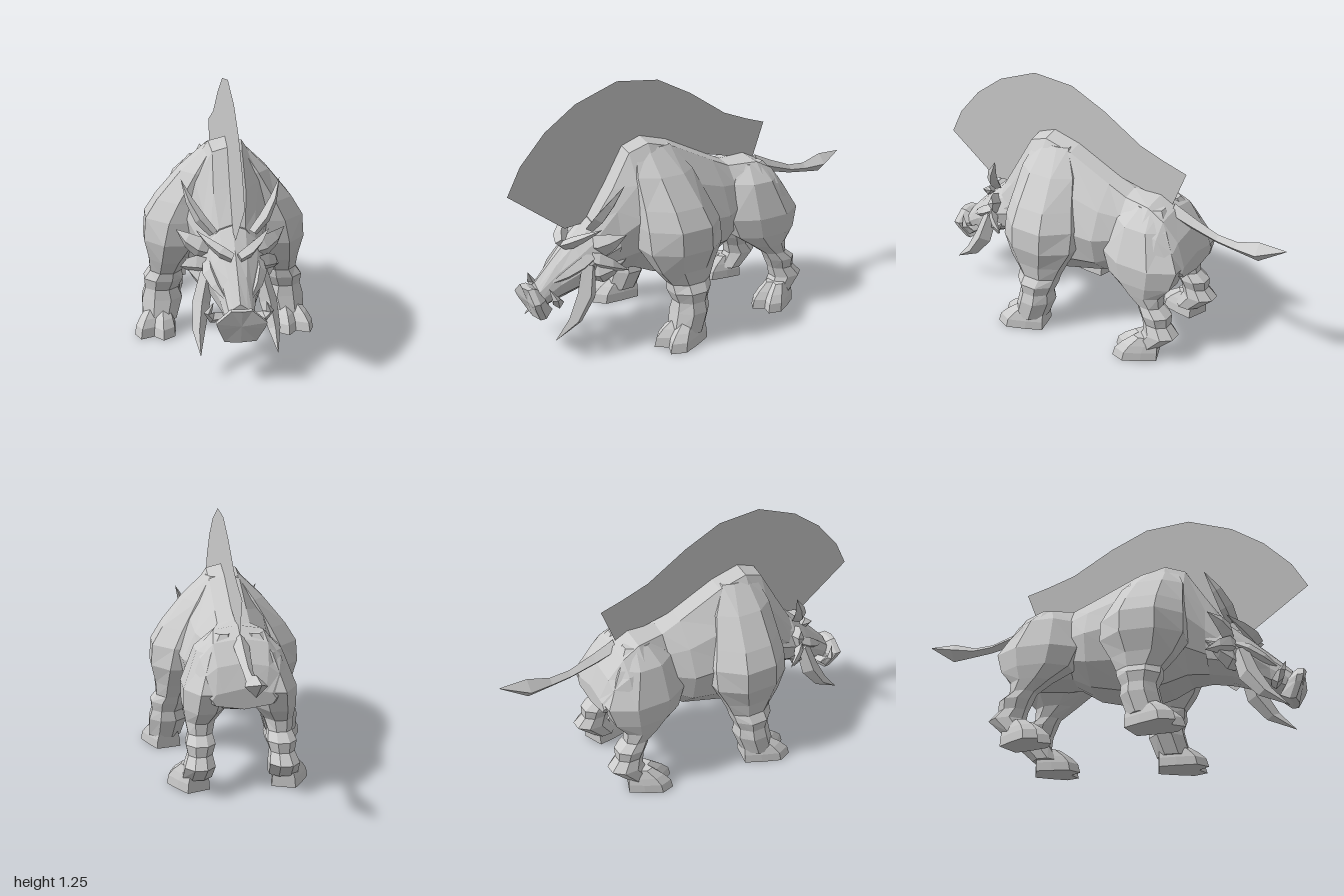
import * as THREE from 'three';

const hide = new THREE.MeshStandardMaterial({ color: 0xcccccc, flatShading: true, side: THREE.DoubleSide });
hide.name = 'grey hide';

const V = (x, y, z) => new THREE.Vector3(x, y, z);

// Skin a list of equal-sized rings and close both ends; faces always point outwards.
function loft(name, rings) {
  const n = rings[0].length, last = rings.length - 1, tris = [];
  const middle = ring => ring.reduce((sum, p) => sum.add(p), V(0, 0, 0)).divideScalar(n);
  const start = middle(rings[0]), end = middle(rings[last]);
  for (let i = 0; i < n; i++) {
    const j = (i + 1) % n;
    for (let r = 0; r < last; r++) {
      const [a, b] = [rings[r], rings[r + 1]];
      tris.push([a[i], a[j], b[j]], [a[i], b[j], b[i]]);
    }
    tris.push([start, rings[0][j], rings[0][i]], [end, rings[last][i], rings[last][j]]);
  }
  const volume = tris.reduce((sum, [a, b, c]) => sum + a.dot(b.clone().cross(c)), 0);
  if (volume < 0) tris.forEach(t => t.reverse());
  const g = new THREE.BufferGeometry().setFromPoints(tris.flat());
  g.computeVertexNormals();
  const mesh = new THREE.Mesh(g, hide);
  mesh.name = name;
  return mesh;
}

// Symmetric cross-section across z: top, bottom, ridge half-width, greatest half-width.
function section([z, top, bottom, ridge, wide]) {
  const h = top - bottom;
  const half = [[ridge, top - 0.02], [ridge + (wide - ridge) * 0.62, bottom + h * 0.74], [wide, bottom + h * 0.47],
    [wide * 0.88, bottom + h * 0.2], [wide * 0.45, bottom + 0.01]];
  return [V(0, top, z), ...half.map(([x, y]) => V(x, y, z)), V(0, bottom, z),
    ...half.map(([x, y]) => V(-x, y, z)).reverse()];
}

// Horizontal eight-sided ring filling an x and z range.
function legRing([y, x0, x1, z0, z1]) {
  const k = 0.5 / Math.cos(Math.PI / 8);
  return Array.from({ length: 8 }, (_, i) => {
    const a = (i + 0.5) * Math.PI / 4;
    return V((x0 + x1) / 2 + (x1 - x0) * k * Math.cos(a), y, (z0 + z1) / 2 + (z1 - z0) * k * Math.sin(a));
  });
}

// Curved point with diamond sections, swelling slightly before it tapers to its tip.
function spike(name, base, bend, tip, width, thickness, across) {
  const curve = new THREE.QuadraticBezierCurve3(V(...base), V(...bend), V(...tip));
  const u = V(...across).normalize();
  return loft(name, [0.8, 1, 0.7, 0.02].map((size, i) => {
    const p = curve.getPoint(i / 3), v = curve.getTangent(i / 3).cross(u).normalize();
    return Array.from({ length: 4 }, (_, k) => p.clone()
      .addScaledVector(u, Math.cos(k * Math.PI / 2) * size * width)
      .addScaledVector(v, Math.sin(k * Math.PI / 2) * size * thickness));
  }));
}

// Cloven foot: a notched outline shrinking towards the ankle.
function foot(name, x, heel, length, width, splay) {
  const side = [[0, 0.65], [0.35, 0.85], [0.75, 1], [1, 0.55]];
  const outline = [...side, [0.82, 0], ...side.map(([f, s]) => [f, -s]).reverse()];
  const levels = [[0, 1], [0.045, 0.95], [0.08, 0.8], [0.12, 0.55]];
  return loft(name, levels.map(([y, k]) => outline.map(([f, s]) =>
    V(s * k * width, 0, f * k * length).applyAxisAngle(V(0, 1, 0), splay).add(V(x, y, heel)))));
}

// Reflected copy with its corner order restored.
function mirrored(mesh) {
  const g = mesh.geometry.clone().scale(-1, 1, 1), a = g.attributes.position.array;
  for (let i = 0; i < a.length; i += 9) {
    for (let k = i; k < i + 3; k++) [a[k], a[k + 3]] = [a[k + 3], a[k]];
  }
  g.computeVertexNormals();
  const copy = new THREE.Mesh(g, hide);
  copy.name = mesh.name.replace('left', 'right');
  return copy;
}

export function createModel() {
  const model = new THREE.Group();
  model.name = 'boar';
  const pair = mesh => model.add(mesh, mirrored(mesh));

  // Humped torso, running from the neck to the rump
  model.add(loft('torso', [
    [0.6, 0.62, 0.32, 0.06, 0.13], [0.5, 0.77, 0.33, 0.075, 0.15], [0.4, 0.935, 0.33, 0.07, 0.2],
    [0.3, 0.97, 0.29, 0.08, 0.25], [0.15, 0.93, 0.255, 0.08, 0.27], [-0.08, 0.82, 0.31, 0.08, 0.24],
    [-0.18, 0.775, 0.37, 0.08, 0.18], [-0.33, 0.78, 0.38, 0.12, 0.24], [-0.42, 0.735, 0.39, 0.13, 0.23],
    [-0.5, 0.64, 0.42, 0.12, 0.2], [-0.545, 0.53, 0.43, 0.1, 0.15],
  ].map(section)));

  // Tapered head
  model.add(loft('head', [
    [0.5, 0.66, 0.33, 0.06, 0.15], [0.61, 0.61, 0.31, 0.06, 0.15], [0.7, 0.53, 0.275, 0.055, 0.125],
    [0.79, 0.445, 0.24, 0.04, 0.08], [0.89, 0.345, 0.21, 0.03, 0.062],
  ].map(section)));

  // Flared snout, a tilted disc
  const snoutSide = [[0.045, 0.335, 0.945], [0.11, 0.28, 0.945], [0.1, 0.25, 0.935], [0.07, 0.18, 0.9]];
  const snoutRing = ([k, dz]) => [[0, 0.335, 0.955], ...snoutSide, [0, 0.18, 0.91],
    ...snoutSide.map(([x, y, z]) => [-x, y, z]).reverse()]
    .map(([x, y, z]) => V(x * k, 0.265 + (y - 0.265) * k, z + dz));
  model.add(loft('snout', [[0.65, -0.075], [1, -0.03], [1, 0]].map(snoutRing)));

  // Tail with a pointed tuft: z, height and radius
  model.add(loft('tail', [
    [-0.41, 0.715, 0.04], [-0.52, 0.675, 0.032], [-0.65, 0.635, 0.023], [-0.75, 0.625, 0.026], [-0.865, 0.635, 0.05], [-1, 0.68, 0.002],
  ].map(([z, y, r]) => [V(r, y, z), V(0, y + r, z), V(-r, y, z), V(0, y - r, z)])));

  // Thin upright crest along the spine
  const crest = new THREE.Shape([
    [1, 0.79], [0.93, 0.92], [0.8, 1.06], [0.64, 1.17], [0.417, 1.25], [0.19, 1.23], [0, 1.14], [-0.21, 1.01], [-0.35, 0.96],
    [-0.465, 0.925], [-0.395, 0.74], [0.2, 0.88], [0.45, 0.8], [0.6, 0.59], [0.72, 0.58],
  ].map(([z, y]) => new THREE.Vector2(-z, y)));
  const crestMesh = new THREE.Mesh(new THREE.ShapeGeometry(crest).rotateY(Math.PI / 2), hide);
  crestMesh.name = 'crest';
  model.add(crestMesh);

  // Front legs with broad shoulders
  pair(loft('left front leg', [
    [0.925, 0.02, 0.09, 0.17, 0.36], [0.81, 0, 0.21, 0.09, 0.4], [0.67, 0, 0.325, 0.045, 0.41],
    [0.58, 0.02, 0.38, 0.015, 0.42], [0.47, 0.08, 0.388, 0.015, 0.42], [0.37, 0.17, 0.365, 0.07, 0.37],
    [0.3, 0.205, 0.36, 0.1, 0.315], [0.26, 0.2, 0.39, 0.11, 0.315], [0.21, 0.225, 0.385, 0.13, 0.295],
    [0.16, 0.205, 0.4, 0.125, 0.305], [0.06, 0.235, 0.4, 0.16, 0.33],
  ].map(legRing)));
  pair(foot('left front foot', 0.3, 0.165, 0.25, 0.1, 0.24));

  // Hind legs with rounded thighs and bent hocks
  pair(loft('left hind leg', [
    [0.75, 0.03, 0.12, -0.39, -0.24], [0.67, 0, 0.205, -0.45, -0.17], [0.5, 0.03, 0.27, -0.54, -0.125],
    [0.4, 0.07, 0.27, -0.51, -0.165], [0.335, 0.12, 0.26, -0.455, -0.26], [0.28, 0.135, 0.25, -0.46, -0.335],
    [0.24, 0.125, 0.265, -0.51, -0.355], [0.19, 0.14, 0.255, -0.51, -0.375], [0.14, 0.13, 0.275, -0.555, -0.385],
    [0.06, 0.14, 0.28, -0.47, -0.34],
  ].map(legRing)));
  pair(foot('left hind foot', 0.205, -0.46, 0.225, 0.09, 0.36));

  // Horns, ears, brows, cheekbones and tufts
  pair(spike('left horn', [0.09, 0.59, 0.63], [0.18, 0.67, 0.61], [0.225, 0.815, 0.52], 0.027, 0.035, [1, -0.6, 0]));
  pair(spike('left ear', [0.09, 0.5, 0.61], [0.18, 0.52, 0.62], [0.25, 0.585, 0.53], 0.055, 0.03, [-0.3, 1, 0.3]));
  pair(spike('left brow', [0.015, 0.505, 0.735], [0.08, 0.53, 0.72], [0.165, 0.6, 0.61], 0.027, 0.035, [-0.4, 1, 0]));
  pair(spike('left cheekbone', [0.11, 0.46, 0.63], [0.125, 0.41, 0.73], [0.05, 0.34, 0.84], 0.035, 0.035, [1, 0, 0]));
  pair(spike('left cheek tuft', [0.1, 0.44, 0.64], [0.19, 0.45, 0.61], [0.23, 0.4, 0.51], 0.05, 0.025, [0.2, 1, 0.2]));
  pair(spike('left jaw tuft', [0.1, 0.37, 0.64], [0.17, 0.36, 0.61], [0.21, 0.45, 0.51], 0.05, 0.025, [0, 1, 0.3]));

  // Long drooping tusks and small upturned tusks
  pair(spike('left tusk', [0.12, 0.42, 0.66], [0.18, 0.2, 0.69], [0.17, 0.11, 0.875], 0.05, 0.04, [0, 0.45, 1]));
  pair(spike('left small tusk', [0.05, 0.26, 0.81], [0.18, 0.25, 0.83], [0.115, 0.35, 0.87], 0.028, 0.025, [0, 0, 1]));
  return model;
}
